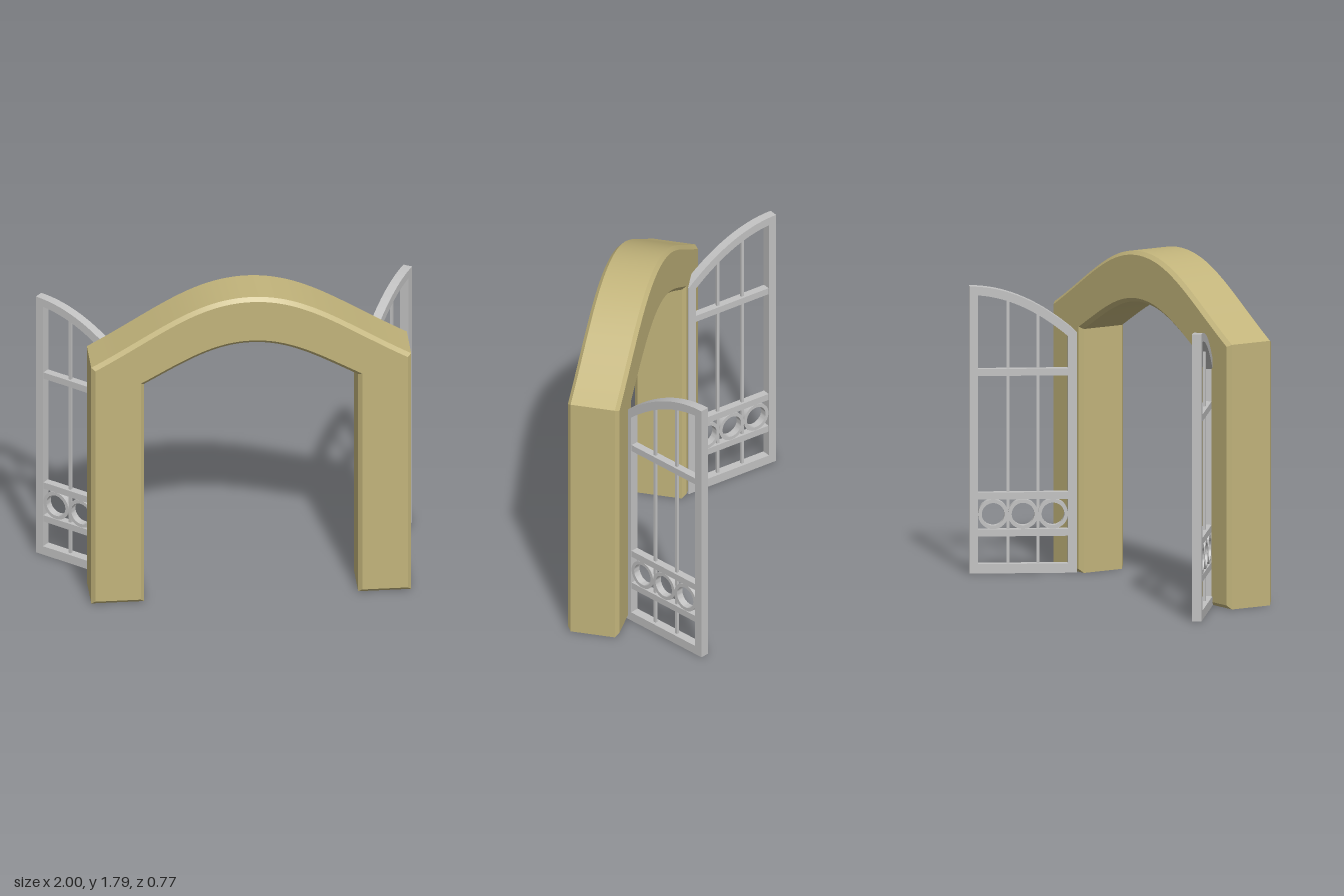
import * as THREE from 'three';
import { toCreasedNormals } from 'three/addons/utils/BufferGeometryUtils.js';

const GATE_W = 0.565, STILE = 0.046, DEPTH = 0.05;

// Upper edge of a gate leaf: low at the hinge, level at the free end
const gateTop = (x) => 1.53 - 0.78 * (GATE_W - x) ** 2;

function extrude(shape, depth, options = {}) {
  const geo = new THREE.ExtrudeGeometry(shape, { depth, bevelEnabled: false, curveSegments: 24, ...options });
  return toCreasedNormals(geo, Math.PI / 6);
}

function addMesh(parent, name, geometry, material, x = 0, y = 0, z = 0) {
  const mesh = new THREE.Mesh(geometry, material);
  mesh.name = name;
  mesh.position.set(x, y, z);
  parent.add(mesh);
  return mesh;
}

// Two legs joined by a bowed head, all edges chamfered
function archGeometry() {
  const s = new THREE.Shape();
  s.moveTo(-0.845, 0);
  s.lineTo(-0.565, 0);
  s.lineTo(-0.565, 1.3);
  s.bezierCurveTo(-0.35, 1.42, -0.2, 1.52, 0, 1.52);
  s.bezierCurveTo(0.2, 1.52, 0.35, 1.42, 0.565, 1.3);
  s.lineTo(0.565, 0);
  s.lineTo(0.845, 0);
  s.lineTo(0.845, 1.41);
  s.bezierCurveTo(0.5, 1.6, 0.3, 1.79, 0, 1.79);
  s.bezierCurveTo(-0.3, 1.79, -0.5, 1.6, -0.845, 1.41);
  return extrude(s, 0.24, {
    bevelEnabled: true, bevelSize: 0.02, bevelThickness: 0.02, bevelOffset: -0.02, bevelSegments: 1,
  });
}

// Closed outline of a leaf, inset from its sides, bottom and curved top
function leafOutline(target, side, bottom, top) {
  target.moveTo(side, bottom);
  target.lineTo(GATE_W - side, bottom);
  const steps = 20;
  for (let i = 0; i <= steps; i++) {
    const x = GATE_W - side - (i / steps) * (GATE_W - 2 * side);
    const slope = 1.56 * (GATE_W - x);
    target.lineTo(x, gateTop(x) - top * Math.hypot(1, slope));
  }
  return target;
}

// One leaf, running along +x from its hinge
function makeGate(name, metal) {
  const gate = new THREE.Group();
  gate.name = name;

  // Outer frame
  const frame = leafOutline(new THREE.Shape(), 0, 0, 0);
  frame.holes.push(leafOutline(new THREE.Path(), STILE, 0.05, STILE));
  addMesh(gate, 'gateFrame', extrude(frame, DEPTH), metal, 0, 0, -DEPTH / 2);

  // Cross rails
  const inner = GATE_W - 2 * STILE;
  for (const y of [0.215, 0.412, 1.07]) {
    addMesh(gate, 'crossRail', new THREE.BoxGeometry(inner, 0.037, 0.042), metal, GATE_W / 2, y, 0);
  }

  // Thin upright bars
  const cell = inner / 3;
  for (const i of [1, 2]) {
    const x = STILE + cell * i;
    const h = gateTop(x) - 0.05;
    addMesh(gate, 'uprightBar', new THREE.BoxGeometry(0.015, h, 0.015), metal, x, 0.02 + h / 2, 0);
  }

  // Row of rings between the lower rails
  const ring = new THREE.Shape().absarc(0, 0, 0.079, 0, Math.PI * 2);
  ring.holes.push(new THREE.Path().absarc(0, 0, 0.06, 0, Math.PI * 2));
  const ringGeo = extrude(ring, 0.04);
  for (let i = 0; i < 3; i++) {
    addMesh(gate, 'ring', ringGeo, metal, STILE + cell * (i + 0.5), 0.314, -0.02);
  }
  return gate;
}

export function createModel() {
  const stone = new THREE.MeshStandardMaterial({ color: 0xc2b47b });
  stone.name = 'sandStone';
  const metal = new THREE.MeshStandardMaterial({ color: 0xc2c2c2 });
  metal.name = 'greyMetal';

  const model = new THREE.Group();
  model.name = 'archedGateway';
  addMesh(model, 'arch', archGeometry(), stone, 0.08, 0, 0.13);

  // Leaves swung open behind the arch by different amounts
  const leaves = [
    ['leftGate', 0.696, 0.117, 60],
    ['rightGate', -0.552, 0.125, 140],
  ];
  for (const [name, x, z, angle] of leaves) {
    const gate = makeGate(name, metal);
    gate.position.set(x, 0, z);
    gate.rotation.y = THREE.MathUtils.degToRad(angle);
    model.add(gate);
  }
  return model;
}
